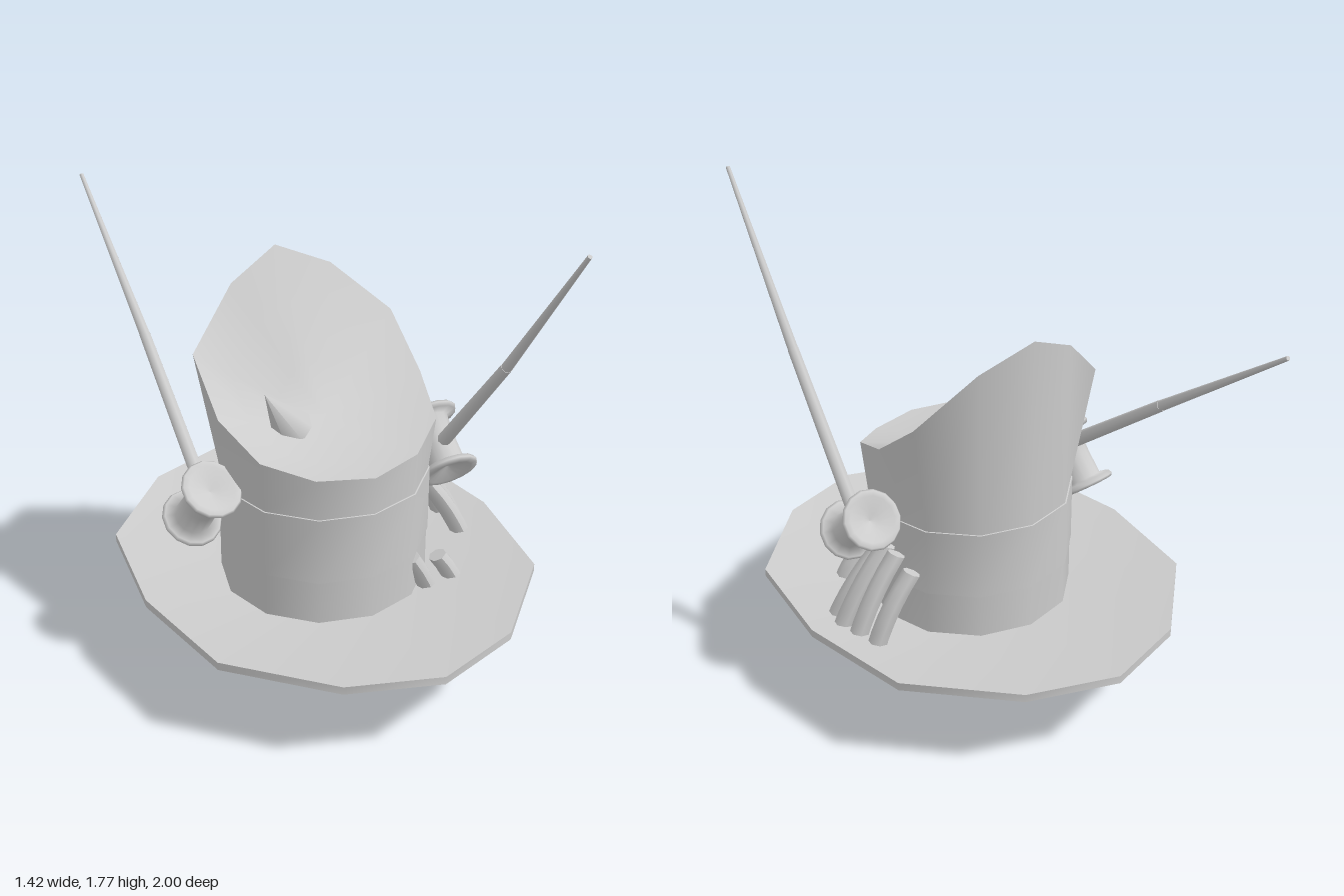
import * as THREE from 'three';
import { toCreasedNormals } from 'three/addons/utils/BufferGeometryUtils.js';

const V = (x, y, z) => new THREE.Vector3(x, y, z);
const N = 12, CZ = 0.115;

// Skins a bottom-to-top list of 12-point rings (single points close the ends)
function loft(rings, crease) {
  const pos = [];
  const tri = (...p) => p.forEach((v) => pos.push(v.x, v.y, v.z));
  for (let j = 0; j < rings.length - 1; j++) {
    const lo = rings[j], hi = rings[j + 1];
    for (let i = 0; i < N; i++) {
      const k = (i + 1) % N;
      const a = lo[i % lo.length], b = lo[k % lo.length];
      const c = hi[i % hi.length], d = hi[k % hi.length];
      if (lo.length > 1) tri(a, c, b);
      if (hi.length > 1) tri(b, c, d);
    }
  }
  const g = new THREE.BufferGeometry();
  g.setAttribute('position', new THREE.Float32BufferAttribute(pos, 3));
  return toCreasedNormals(g, crease);
}

// Mirrors seven points (back to front along +x) into a full ring
function mirrorRing(half) {
  const ring = half.map((p) => V(...p));
  for (let i = 5; i > 0; i--) ring.push(V(-half[i][0], half[i][1], half[i][2]));
  return ring;
}

function oval(rx, rz, y) {
  return Array.from({ length: N }, (_, i) => {
    const a = (i / N) * Math.PI * 2;
    return V(rx * Math.sin(a), y, CZ - rz * Math.cos(a));
  });
}

export function createModel() {
  const model = new THREE.Group();
  const felt = new THREE.MeshStandardMaterial({ color: 0xcccccc });
  felt.name = 'light grey';

  const add = (name, geo, parent = model) => {
    const m = new THREE.Mesh(geo, felt);
    m.name = name;
    parent.add(m);
    return m;
  };
  // Places a y-aligned object so that it runs from a to b
  const align = (obj, a, b) => {
    obj.position.copy(a).lerp(b, 0.5);
    obj.quaternion.setFromUnitVectors(V(0, 1, 0), b.clone().sub(a).normalize());
    return obj;
  };

  // Wide shallow brim with a thin edge
  const edge = (y) => mirrorRing([
    [0, y, -0.765], [0.33, y, -0.655], [0.64, y, -0.34], [0.71, y, 0.11],
    [0.64, y, 0.56], [0.33, y, 0.875], [0, y, 0.985],
  ]);
  add('brim', loft([
    [V(0, 0.235, CZ)], oval(0.39, 0.38, 0.23), edge(0.305), edge(0.335),
    oval(0.37, 0.36, 0.27), [V(0, 0.27, CZ)],
  ], 0.7));

  // Crown with a slanted, scooped top rising to a point at the back
  const rim = mirrorRing([
    [0, 1.42, -0.26], [0.2, 1.33, -0.21], [0.4, 1.14, -0.11], [0.405, 0.98, 0.1],
    [0.35, 0.9, 0.31], [0.2, 0.855, 0.435], [0, 0.845, 0.495],
  ]);
  const dip = V(0, 0.91, 0.12);
  const scoop = (t, drop) => rim.map((p) => {
    const q = p.clone().lerp(dip, t);
    q.y -= drop;
    return q;
  });
  add('crown', loft([
    oval(0.38, 0.375, 0.25), oval(0.38, 0.375, 0.7), rim,
    scoop(0.3, 0.015), scoop(0.65, 0.015), [dip],
  ], 1.15));

  // Band around the crown
  add('band', loft([
    oval(0.378, 0.373, 0.44), oval(0.385, 0.38, 0.441),
    oval(0.385, 0.38, 0.699), oval(0.378, 0.373, 0.7),
  ], 0.7));

  // Small spike poking through the top
  align(add('spike', new THREE.ConeGeometry(0.08, 0.22, 8)),
    V(-0.14, 0.9, 0.13), V(-0.25, 1.065, 0.16));

  // Thread spools: dished flanges on a core
  const spoolProfile = [
    [0, 0.095], [0.03, 0.105], [0.085, 0.125], [0.105, 0.125], [0.112, 0.115],
    [0.105, 0.1], [0.07, 0.092], [0.066, 0], [0.07, -0.092], [0.105, -0.1],
    [0.112, -0.115], [0.105, -0.125], [0.085, -0.125], [0.03, -0.105], [0, -0.095],
  ].map(([r, y]) => new THREE.Vector2(r, y)).reverse();
  const spoolGeo = new THREE.LatheGeometry(spoolProfile, 14);
  align(add('leftSpool', spoolGeo), V(0.465, 0.61, 0.23), V(0.48, 0.745, 0.045));
  align(add('rightSpool', spoolGeo), V(-0.485, 0.57, 0.03), V(-0.465, 0.75, 0.16));
  add('spoolPeg', new THREE.BoxGeometry(0.07, 0.035, 0.04)).position.set(-0.39, 0.65, 0.1);

  // Long needles, each a thick shank and a tapering point
  const rod = (name, a, b, ra, rb, parent) =>
    align(add(name, new THREE.CylinderGeometry(rb, ra, a.distanceTo(b), 8), parent), a, b);
  const needle = (name, a, b, c) => {
    const g = new THREE.Group();
    g.name = name;
    rod('shank', a, b, 0.028, 0.021, g);
    rod('point', b, c, 0.02, 0.008, g);
    model.add(g);
  };
  needle('leftNeedle', V(0.47, 0.65, 0.13), V(0.452, 1.2, 0.58), V(0.442, 1.77, 0.995));
  needle('rightNeedle', V(-0.475, 0.67, 0.18), V(-0.455, 1.1, -0.41), V(-0.445, 1.515, -0.995));

  // Slightly bowed pegs pushed through the brim
  const peg = (name, a, b) => {
    const h = a.distanceTo(b);
    const geo = new THREE.CylinderGeometry(0.034, 0.036, h, 7, 5);
    const p = geo.attributes.position;
    for (let i = 0; i < p.count; i++) {
      p.setX(i, p.getX(i) + 0.016 * (1 - (2 * p.getY(i) / h) ** 2));
    }
    geo.computeVertexNormals();
    align(add(name, geo), a, b);
  };
  [
    [0.565, 0.27, 0.19, 0.395, 0.56, 0.13],
    [0.585, 0.275, 0.115, 0.4, 0.6, 0.075],
    [0.575, 0.265, 0.03, 0.4, 0.59, 0.015],
    [0.55, 0.275, -0.06, 0.4, 0.56, -0.08],
  ].forEach((p) => peg('sidePeg', V(...p.slice(0, 3)), V(...p.slice(3))));
  [
    [0.17, 0.023, 0.4, 0, 0.26, 0.39],
    [0.26, 0.06, 0.4, 0.09, 0.33, 0.4],
    [0.325, 0.105, 0.41, 0.2, 0.41, 0.41],
    [0.41, 0.16, 0.43, 0.32, 0.38, 0.4],
  ].forEach(([x, y, z, u, v, w]) => peg('frontPeg', V(x, y, z), V(u, v, w)));

  return model;
}
